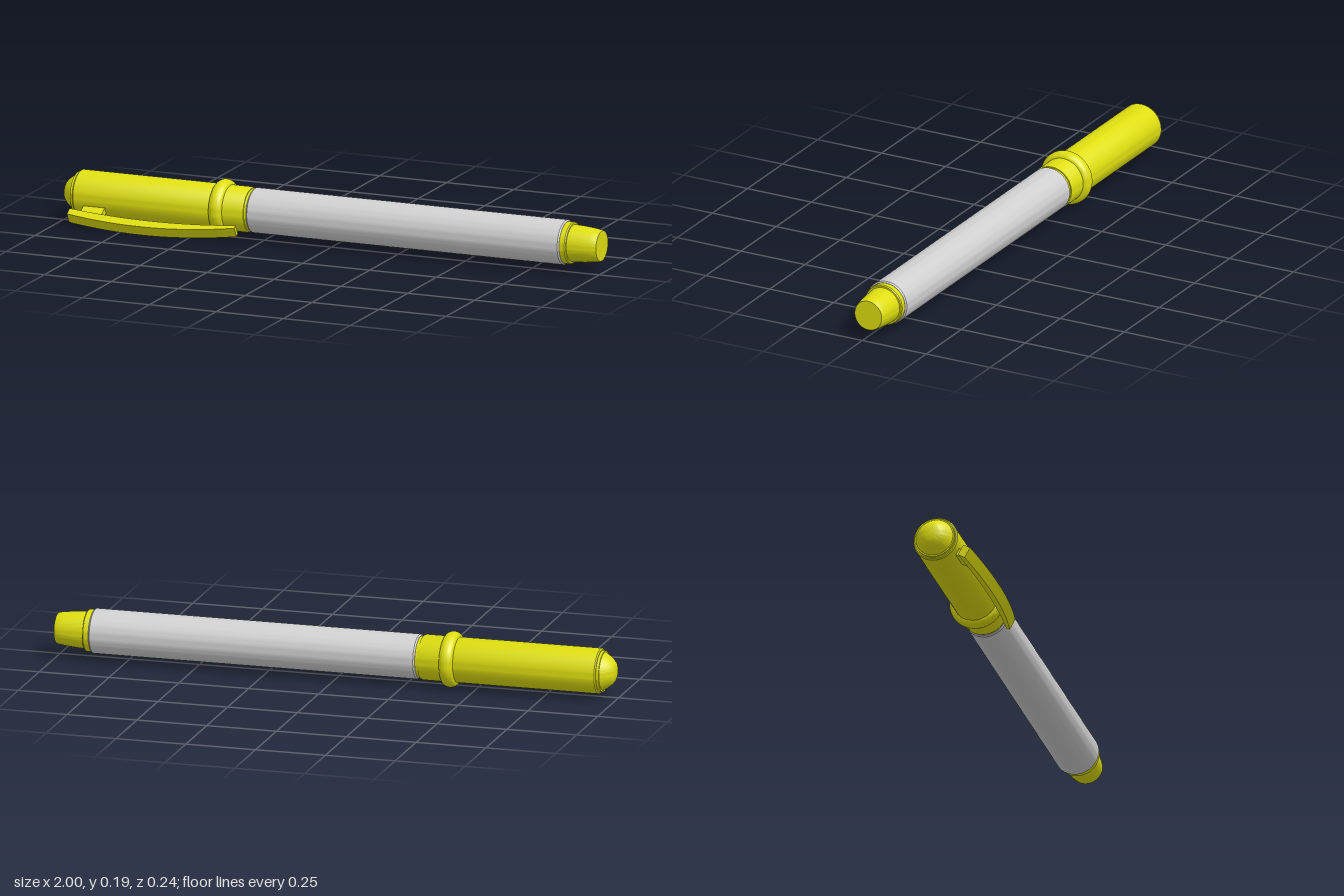
import * as THREE from 'three';
import { toCreasedNormals } from 'three/addons/utils/BufferGeometryUtils.js';

export function createModel() {
  const model = new THREE.Group();
  model.name = 'pen';
  const yellow = new THREE.MeshStandardMaterial({ color: 0xdede10 });
  yellow.name = 'yellow plastic';
  const grey = new THREE.MeshStandardMaterial({ color: 0xd0d0d0 });
  grey.name = 'light grey plastic';

  // Everything is laid out around the pen's long axis
  const pen = new THREE.Group();
  pen.name = 'penBody';
  pen.position.set(0, 0.098, -0.023);
  model.add(pen);

  // Turned part: profile of [x, radius] pairs from the cap end to the tail
  function turned(name, profile, material) {
    const points = profile.map(([x, r]) => new THREE.Vector2(r, x));
    const geometry = toCreasedNormals(new THREE.LatheGeometry(points, 64), 0.5);
    const mesh = new THREE.Mesh(geometry, material);
    mesh.name = name;
    mesh.rotation.z = -Math.PI / 2;
    pen.add(mesh);
  }

  // Domed cap with a stepped shoulder and a narrower lip
  turned('cap', [
    [-1, 0], [-0.999, 0.022], [-0.994, 0.035], [-0.984, 0.046], [-0.97, 0.057],
    [-0.956, 0.066], [-0.956, 0.071], [-0.946, 0.071], [-0.946, 0.075], [-0.942, 0.079],
    [-0.315, 0.079], [-0.308, 0.076], [-0.308, 0.072], [-0.29, 0.072], [-0.29, 0],
  ], yellow);

  // Rounded band around the cap
  const band = [];
  for (let i = 0; i <= 16; i++) {
    const a = (i / 16) * Math.PI;
    band.push([-0.411 - 0.025 * Math.cos(a), 0.077 + 0.02 * Math.sin(a)]);
  }
  turned('capBand', band, yellow);

  // Long barrel with small chamfers
  turned('barrel', [
    [-0.298, 0], [-0.298, 0.074], [-0.293, 0.078], [0.866, 0.078], [0.871, 0.074], [0.871, 0],
  ], grey);

  // Collar and tapered tail plug
  turned('tailCollar', [[0.865, 0], [0.865, 0.073], [0.89, 0.073], [0.894, 0.07], [0.894, 0]], yellow);
  turned('tailPlug', [
    [0.885, 0], [0.885, 0.065], [0.91, 0.064], [0.94, 0.062], [0.97, 0.059],
    [0.996, 0.055], [1, 0.053], [1, 0],
  ], yellow);

  // Clip group: local y points radially away from the pen
  const clip = new THREE.Group();
  clip.name = 'clip';
  clip.rotation.x = THREE.MathUtils.degToRad(120);
  pen.add(clip);

  // Bowed clip arm
  const outline = new THREE.Shape();
  outline.moveTo(-0.945, 0.104);
  outline.quadraticCurveTo(-0.62, 0.147, -0.325, 0.104);
  outline.lineTo(-0.325, 0.118);
  outline.quadraticCurveTo(-0.62, 0.19, -0.945, 0.132);
  outline.closePath();
  const armGeometry = new THREE.ExtrudeGeometry(outline, { depth: 0.04, bevelEnabled: false, curveSegments: 20 });
  armGeometry.translate(0, 0, -0.02);
  const arm = new THREE.Mesh(toCreasedNormals(armGeometry, 0.5), yellow);
  arm.name = 'clipArm';
  clip.add(arm);

  // Short post joining the clip to the cap
  const post = new THREE.Mesh(new THREE.BoxGeometry(0.08, 0.05, 0.025), yellow);
  post.name = 'clipPost';
  post.position.set(-0.865, 0.095, 0);
  clip.add(post);

  return model;
}
